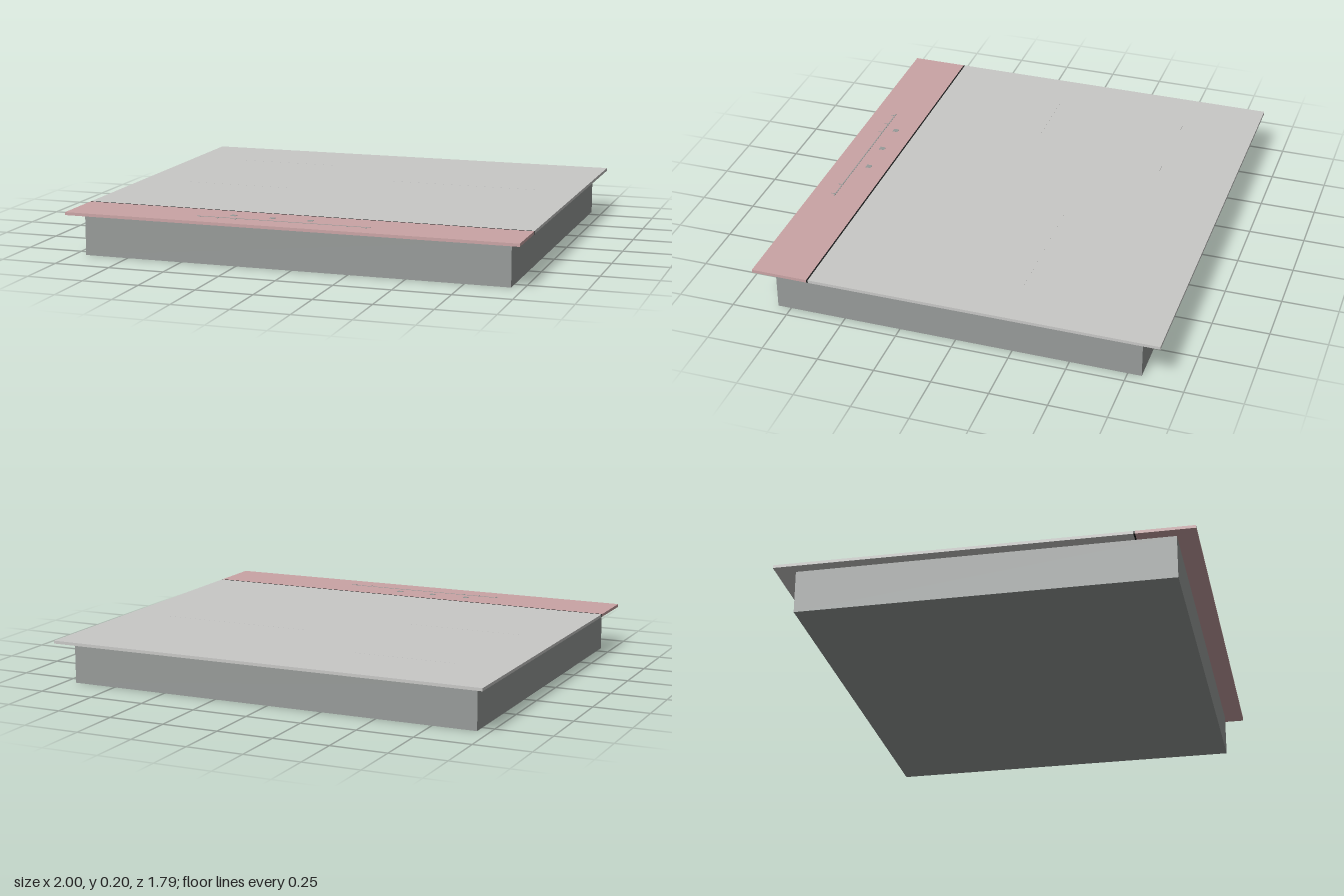
import * as THREE from 'three';

export function createModel() {
  const model = new THREE.Group();
  model.name = 'cooktop';

  const material = (name, color) => {
    const m = new THREE.MeshStandardMaterial({ color });
    m.name = name;
    return m;
  };
  const glassGrey = material('light grey glass', 0xc8c8c6);
  const panelPink = material('dusty pink panel', 0xcaa4a5);
  const bodyGrey = material('body grey', 0x979b99);
  const seamBlack = material('seam black', 0x1c1c1c);

  // Box given by its extents along each axis
  const box = (name, mat, [x0, x1], [y0, y1], [z0, z1], parent = model) => {
    const mesh = new THREE.Mesh(new THREE.BoxGeometry(x1 - x0, y1 - y0, z1 - z0), mat);
    mesh.name = name;
    mesh.position.set((x0 + x1) / 2, (y0 + y1) / 2, (z0 + z1) / 2);
    parent.add(mesh);
    return mesh;
  };

  const plateY = [0.19, 0.203];
  const markY = [0.2025, 0.204];

  // Housing below the worktop
  box('housing', bodyGrey, [-0.947, 0.947], [0, 0.19], [-0.81, 0.81]);

  // Glass, control panel and the dark seam between them
  box('glassPlate', glassGrey, [-1, 1], plateY, [-0.895, 0.638]);
  box('seam', seamBlack, [-1, 1], plateY, [0.638, 0.645]);
  box('controlPanel', panelPink, [-1, 1], plateY, [0.645, 0.895]);

  // Faint tone-on-tone centre lines of the three cooking zones
  const zones = new THREE.Group();
  zones.name = 'cookingZoneMarks';
  model.add(zones);
  for (const [x, z, length] of [[-0.51, -0.55, 0.48], [-0.53, 0.07, 0.54], [0.45, -0.24, 0.7]]) {
    box('zoneMark', glassGrey, [x - length / 2, x + length / 2], [0.2025, 0.2033], [z - 0.0015, z + 0.0015], zones);
  }

  // Touch keys and slider scale on the control panel
  const controls = new THREE.Group();
  controls.name = 'controls';
  model.add(controls);
  for (const x of [-0.285, -0.11, 0.06]) {
    box('touchKey', bodyGrey, [x - 0.012, x + 0.012], markY, [0.723, 0.748], controls);
  }
  box('sliderLine', bodyGrey, [-0.43, 0.345], markY, [0.788, 0.793], controls);
  for (const x of [-0.415, -0.33, -0.25, 0.245, 0.328]) {
    box('sliderTick', bodyGrey, [x - 0.002, x + 0.002], markY, [0.793, 0.81], controls);
  }

  return model;
}
